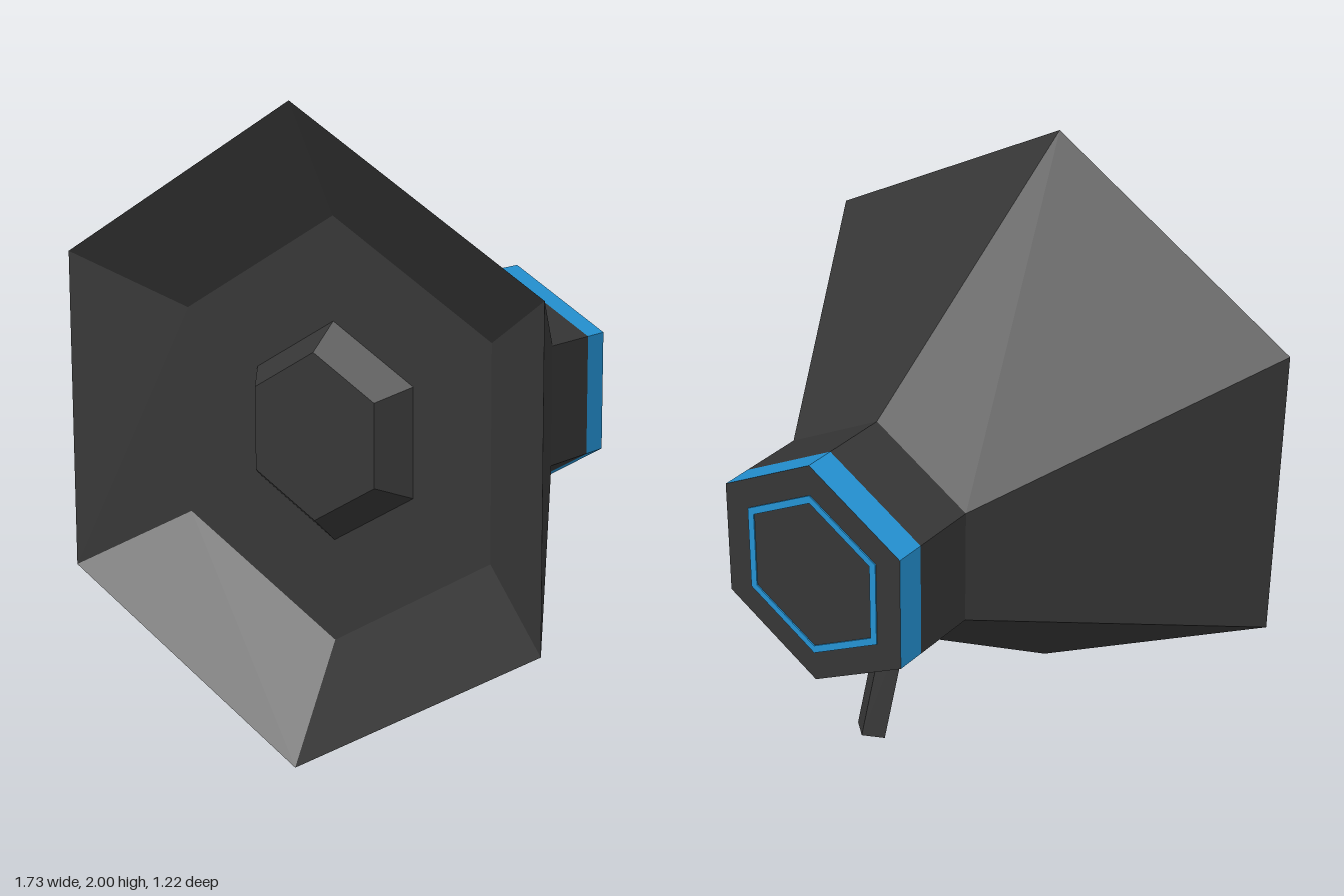
import * as THREE from 'three';

const dark = new THREE.MeshStandardMaterial({ color: 0x363636 });
dark.name = 'charcoal';
const blue = new THREE.MeshStandardMaterial({ color: 0x2492d3 });
blue.name = 'blue';

// Six-sided flat-shaded solid around the z axis from [radius, z] pairs, corner up.
// Pairs running towards +z face outwards.
function hexLathe(name, profile, material) {
  const points = profile.map(([r, z]) => new THREE.Vector2(r, z));
  const geometry = new THREE.LatheGeometry(points, 6).rotateX(Math.PI / 2).toNonIndexed();
  geometry.computeVertexNormals();
  const mesh = new THREE.Mesh(geometry, material);
  mesh.name = name;
  mesh.position.y = 1;
  return mesh;
}

export function createModel() {
  const model = new THREE.Group();
  model.name = 'megaphone';

  // Flared bell with its recessed front, then the collar behind it
  model.add(hexLathe('bell', [[0.385, -0.295], [1, 0.61], [0.65, 0.405], [0, 0.405]], dark));
  model.add(hexLathe('collar', [[0.385, -0.51], [0.385, -0.295]], dark));

  // Tapered boss in the middle of the bell
  model.add(hexLathe('speakerBoss', [[0.335, 0.405], [0.255, 0.505], [0, 0.505]], dark));

  // Blue band, rear cap and thin ring on the cap
  model.add(hexLathe('rearBand', [[0.385, -0.606], [0.385, -0.51]], blue));
  model.add(hexLathe('rearCap', [[0, -0.606], [0.385, -0.606]], dark));
  model.add(hexLathe('rearRing',
    [[0.257, -0.606], [0.257, -0.61], [0.283, -0.61], [0.283, -0.606]], blue));

  // Handle: a bar turned about its own length and leaning backwards
  const grip = new THREE.Mesh(new THREE.BoxGeometry(0.1, 0.45, 0.075), dark);
  grip.name = 'handle';
  grip.geometry.rotateY(-Math.PI / 4);
  grip.rotation.x = 0.325;
  grip.position.set(0, 0.47, -0.275);
  model.add(grip);

  return model;
}
